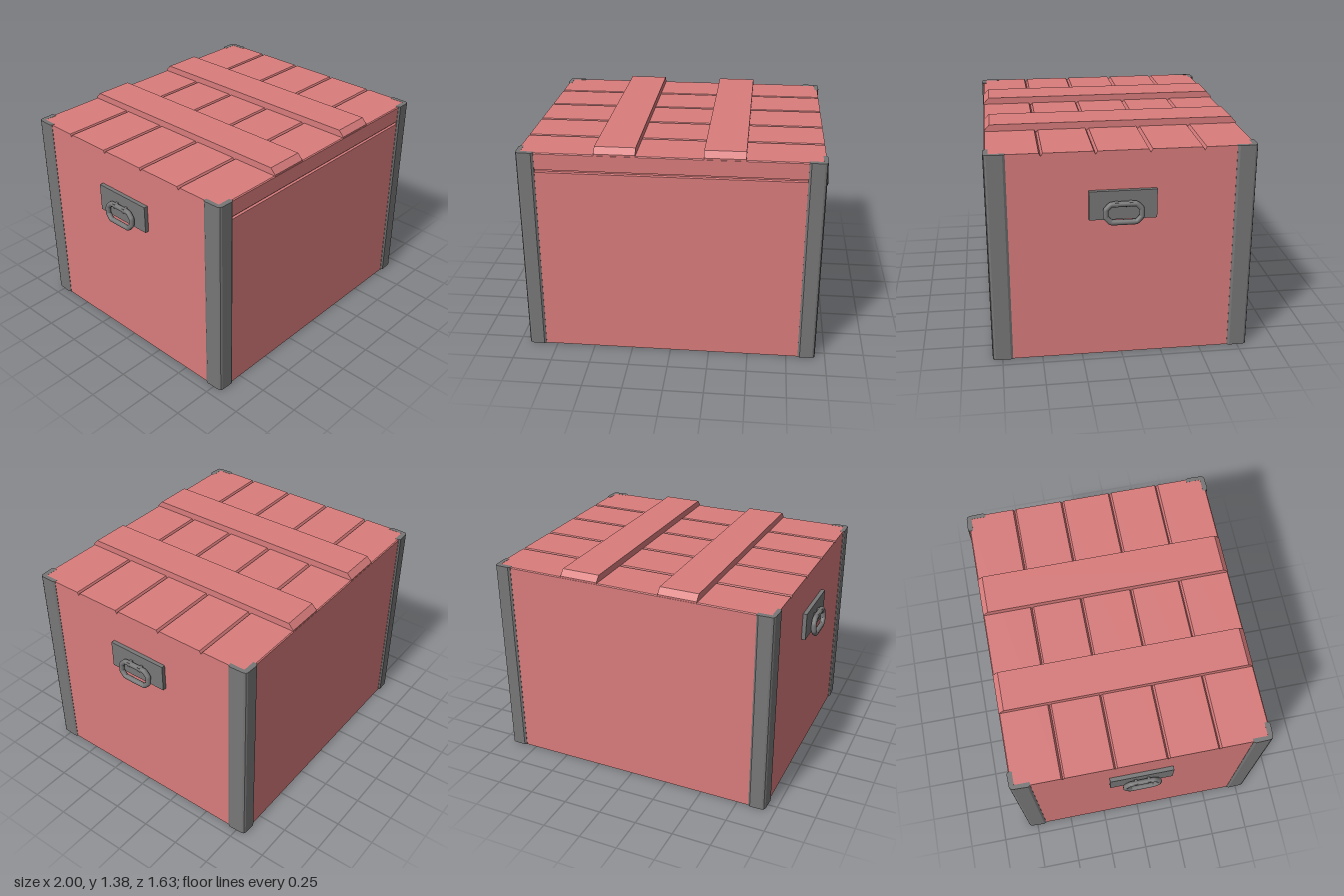
import * as THREE from 'three';

const red = new THREE.MeshStandardMaterial({ color: 0xd97c7c });
const metal = new THREE.MeshStandardMaterial({ color: 0x777777 });

function part(parent, name, geometry, material) {
  const mesh = new THREE.Mesh(geometry, material);
  mesh.name = name;
  parent.add(mesh);
  return mesh;
}

const shapeOf = (points) => new THREE.Shape(points.map(([a, b]) => new THREE.Vector2(a, b)));

// Extrude a (z, y) profile along x, centred on the given x
function extrudeX(points, width, x = 0) {
  return new THREE.ExtrudeGeometry(shapeOf(points), { depth: width, bevelEnabled: false })
    .translate(0, 0, -width / 2)
    .rotateY(-Math.PI / 2)
    .translate(x, 0, 0);
}

// Rounded corner guard, extruded upwards from a plan outline
function cornerGuard(sx, sz) {
  const plan = [[0.825, 0.78], [0.825, 0.805], [0.838, 0.814], [0.917, 0.811], [0.929, 0.806],
    [0.936, 0.793], [0.939, 0.70], [0.931, 0.685], [0.91, 0.685], [0.91, 0.78]];
  return new THREE.ExtrudeGeometry(shapeOf(plan.map(([x, z]) => [sx * x, -sz * z])),
    { depth: 1.343, bevelEnabled: false }).rotateX(-Math.PI / 2);
}

function sideHandle(s) {
  const handle = new THREE.Group();
  handle.name = s > 0 ? 'leftHandle' : 'rightHandle';
  part(handle, 'handlePlate', new THREE.BoxGeometry(0.03, 0.18, 0.41), metal)
    .position.set(s * 0.94, 1.01, 0);

  // Octagonal ring, hanging slightly outwards
  const outline = [[-0.075, 1.022], [-0.108, 0.99], [-0.108, 0.945], [-0.075, 0.912],
    [0.075, 0.912], [0.108, 0.945], [0.108, 0.99], [0.075, 1.022]];
  const points = outline.map(([z, y]) =>
    new THREE.Vector3(s * (0.983 - (y - 0.912) * 0.07), y, z));
  const path = new THREE.CatmullRomCurve3(points, true, 'catmullrom', 0.12);
  part(handle, 'handleRing', new THREE.TubeGeometry(path, 96, 0.017, 10, true), metal);

  // Lugs holding the ring to the plate
  for (const z of [-0.042, 0.042]) {
    part(handle, 'handleLug', new THREE.BoxGeometry(0.045, 0.03, 0.018), metal)
      .position.set(s * 0.967, 1.022, z);
  }
  return handle;
}

export function createModel() {
  const crate = new THREE.Group();
  crate.name = 'crate';

  // Body with the lid seam at the front and V-grooves between the lid planks
  const top = 1.342;
  const profile = [[-0.803, 0], [0.803, 0], [0.803, 1.217], [0.79, 1.222], [0.79, 1.23],
    [0.803, 1.235], [0.803, 1.336], [0.797, top]];
  for (const z of [0.48, 0.16, -0.165, -0.488]) {
    profile.push([z + 0.011, top], [z, top - 0.02], [z - 0.011, top]);
  }
  profile.push([-0.797, top], [-0.803, 1.336]);
  part(crate, 'body', extrudeX(profile, 1.858), red);

  // Raised straps with sloping ends
  const strap = [[-0.802, 1.33], [0.802, 1.33], [0.802, 1.348], [0.768, 1.385],
    [-0.768, 1.385], [-0.802, 1.348]];
  for (const s of [-1, 1]) {
    part(crate, 'lidStrap', extrudeX(strap, 0.252, s * 0.331), red);
    for (const sz of [-1, 1]) part(crate, 'cornerGuard', cornerGuard(s, sz), metal);
    crate.add(sideHandle(s));
  }
  return crate;
}
